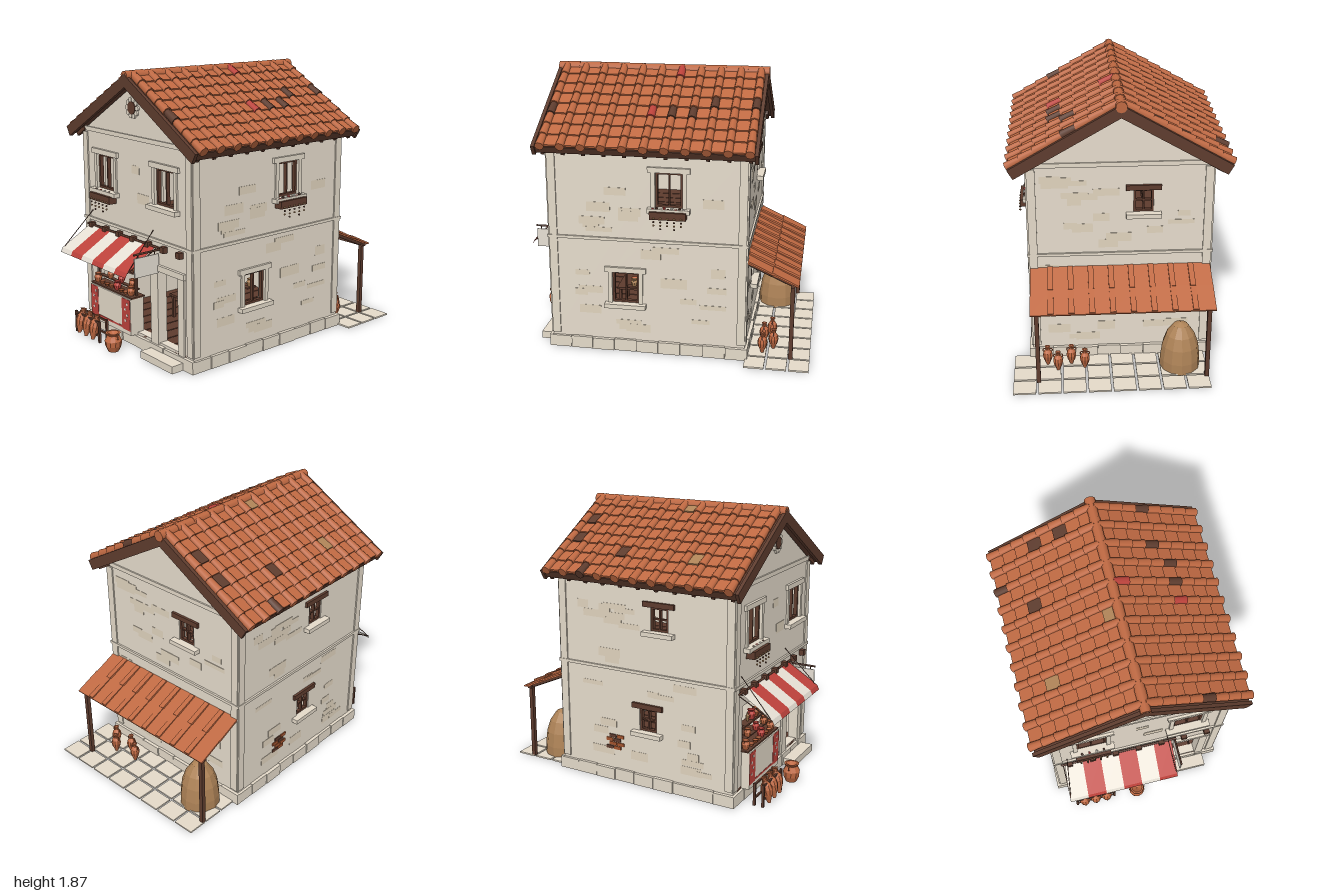
import * as THREE from 'three';

const mat = (name, color, side = THREE.FrontSide) => Object.assign(new THREE.MeshStandardMaterial({ color, side }), { name });
const plaster = mat('plaster', 0xe6dccc), patch = mat('plasterPatch', 0xe0d3bd), stone = mat('stone', 0xe4dac9);
const clay = mat('terracotta', 0xbf6942), darkClay = mat('darkTerracotta', 0xa3552f);
const wood = mat('wood', 0x5e3c2e), dark = mat('darkFloor', 0x452c24), straw = mat('straw', 0xae8357);
const red = mat('red', 0xbd423b, THREE.DoubleSide), white = mat('whiteCloth', 0xf0e9dd, THREE.DoubleSide);

const group = (name, parent) => {
  const g = new THREE.Group();
  g.name = name;
  parent.add(g);
  return g;
};
const add = (parent, name, geo, m, x = 0, y = 0, z = 0) => {
  const mesh = new THREE.Mesh(geo, m);
  mesh.name = name;
  mesh.position.set(x, y, z);
  parent.add(mesh);
  return mesh;
};
// box given by its ranges
const box = (p, name, m, x0, x1, y0, y1, z0, z1) => add(p, name, new THREE.BoxGeometry(x1 - x0, y1 - y0, z1 - z0),
  m, (x0 + x1) / 2, (y0 + y1) / 2, (z0 + z1) / 2);
// thin round bar between two points
const bar = (p, name, m, a, b, r) => {
  const A = new THREE.Vector3(...a), B = new THREE.Vector3(...b);
  const mesh = add(p, name, new THREE.CylinderGeometry(r, r, A.distanceTo(B), 6), m);
  mesh.position.copy(A).lerp(B, 0.5);
  mesh.quaternion.setFromUnitVectors(new THREE.Vector3(0, 1, 0), B.sub(A).normalize());
};
const faceted = geo => {
  const g = geo.toNonIndexed();
  g.computeVertexNormals();
  return g;
};
const points = list => list.map(p => new THREE.Vector2(...p));
const lathe = (pts, n) => faceted(new THREE.LatheGeometry(points(pts), n));

// pottery, modelled one unit high
const forms = {
  amphora: lathe([[0, 0], [0.06, 0], [0.09, 0.1], [0.19, 0.32], [0.235, 0.52], [0.2, 0.7], [0.1, 0.83], [0.09, 0.93], [0.13, 1], [0.07, 1], [0, 0.95]], 10),
  pot: lathe([[0, 0], [0.28, 0], [0.42, 0.3], [0.45, 0.58], [0.34, 0.8], [0.31, 0.88], [0.4, 1], [0.3, 1], [0, 0.8]], 10),
  bowl: lathe([[0, 0], [0.5, 0], [1.1, 1], [0.95, 1], [0, 0.3]], 10)
};
const handle = new THREE.TorusGeometry(0.09, 0.028, 5, 8);
const jar = (p, form, m, h, x, y, z) => {
  const g = group(form, p);
  add(g, 'body', forms[form], m);
  if (form !== 'bowl') for (const s of [-1, 1]) add(g, 'handle', handle, m, s * (form === 'pot' ? 0.36 : 0.13), 0.8, 0);
  g.scale.setScalar(h);
  g.position.set(x, y, z);
  return g;
};

// walls: each has a local frame, u along the wall, v up, outward +z
const rect = (u, v, w, h) => [u - w / 2, u + w / 2, v, v + h];
const makeWall = (root, name, pos, turn, outline, openings) => {
  const g = group(name, root), e = outline[1][0];
  g.position.set(...pos);
  g.rotation.y = turn;
  const s = new THREE.Shape(points(outline));
  for (const [a, b, c, d] of openings) s.holes.push(new THREE.Path(points([[a, c], [a, d], [b, d], [b, c]])));
  add(g, 'wall', new THREE.ExtrudeGeometry(s, { depth: 0.06, bevelEnabled: false }), plaster, 0, 0, -0.06);
  for (const x of [-e, e - 0.055]) box(g, 'cornerPilaster', stone, x, x + 0.055, 0.1, 1.41, 0, 0.009);
  box(g, 'storeyBand', stone, -e - 0.01, e + 0.01, 0.79, 0.81, 0, 0.013);
  box(g, 'plinthCore', stone, -e, e, 0.004, 0.078, -0.04, 0.012);
  const n = e > 0.62 ? 9 : 8, w = (2 * e + 0.04) / n;
  for (let i = 0; i < n; i++) box(g, 'plinthBlock', stone, -e - 0.018 + i * w, -e - 0.022 + (i + 1) * w,
    0, 0.08 + (i % 2) * 0.004, 0, 0.018 + (i % 3) * 0.003);
  // faint plaster patches clear of the openings
  let seed = 47 + Math.round(turn * 10);
  const rnd = () => (seed = (seed * 16807) % 2147483647) / 2147483647;
  for (let i = 0; i < 40; i++) {
    const pw = 0.04 + rnd() * 0.05, ph = 0.015 + rnd() * 0.02, u = (rnd() - 0.5) * 0.95, v = 0.15 + rnd() * 1.2;
    if (Math.abs(v - 0.8) < 0.06 || openings.some(o => u + pw > o[0] - 0.06 && u - pw < o[1] + 0.06
      && v + ph > o[2] - 0.1 && v - ph < o[3] + 0.06)) continue;
    box(g, 'plasterPatch', patch, u - pw, u + pw, v - ph, v + ph, 0, 0.001 + (i % 5) * 0.0004);
  }
  return g;
};
const windowSet = (wall, [a, b, c, d], rustic) => {
  const g = group('window', wall), m = (a + b) / 2, v = (c + d) / 2, f = 0.015;
  box(g, 'lintel', rustic ? wood : stone, a - 0.05, b + 0.05, d, d + 0.035, -0.03, 0.018);
  box(g, 'sill', stone, a - 0.05, b + 0.05, c - 0.03, c, -0.03, 0.045);
  if (rustic) box(g, 'crossBar', wood, a, b, v - 0.005, v + 0.005, -0.034, -0.012);
  else for (const x of [a - 0.028, b]) box(g, 'jamb', stone, x, x + 0.028, c, d, -0.03, 0.012);
  for (const [p, q] of [[a, a + f], [b - f, b], [m - 0.005, m + 0.005]]) box(g, 'frameUpright', wood, p, q, c, d, -0.035, -0.008);
  for (const y of [c, d - f]) box(g, 'frameRail', wood, a, b, y, y + f, -0.035, -0.008);
};
const leaf = new THREE.IcosahedronGeometry(0.011, 0);
const flowerBox = (wall, u, v) => {
  const g = group('flowerBox', wall);
  box(g, 'planter', wood, u - 0.12, u + 0.12, v - 0.055, v - 0.005, 0.005, 0.065);
  for (let i = 0; i < 9; i++) add(g, 'flower', leaf, [red, wood, white][i % 3], u - 0.1 + i * 0.025, v + 0.006 + (i % 2) * 0.01, 0.035);
  for (let i = 0; i < 5; i++) for (let k = 0; k < 3 + (i % 2); k++)
    add(g, 'trailingLeaf', leaf, k % 2 ? wood : straw, u - 0.09 + i * 0.045, v - 0.045 - k * 0.023, 0.068).scale.setScalar(0.7);
};

function buildWalls(root) {
  const gable = [[-0.6, 0.06], [0.6, 0.06], [0.6, 1.42], [0, 1.77], [-0.6, 1.42]];
  const flank = [[-0.66, 0.06], [0.66, 0.06], [0.66, 1.42], [-0.66, 1.42]];
  const build = (name, pos, turn, outline, windows, rustic, doors = []) => {
    const w = makeWall(root, name, pos, turn, outline, [...windows, ...doors]);
    windows.forEach(o => windowSet(w, o, rustic));
    if (outline === gable) box(w, 'gableCornice', stone, -0.6, 0.6, 1.42, 1.45, 0, 0.01);
    return w;
  };
  const front = build('frontWall', [0, 0, 0.75], 0, gable, [rect(-0.33, 1.035, 0.2, 0.24), rect(0.33, 1.035, 0.2, 0.24)],
    false, [[-0.48, 0.16, 0.1, 0.65], [0.25, 0.46, 0.1, 0.6]]);
  const leftFlank = build('leftFlankWall', [0.6, 0, 0.09], Math.PI / 2, flank, [rect(0.15, 1.035, 0.18, 0.235), rect(-0.145, 0.35, 0.18, 0.22)], false);
  build('backWall', [0, 0, -0.57], Math.PI, gable, [rect(0.15, 1.095, 0.13, 0.16), rect(-0.13, 0.395, 0.13, 0.16)], true);
  const rightFlank = build('rightFlankWall', [-0.6, 0, 0.09], -Math.PI / 2, flank, [rect(0.12, 1.095, 0.13, 0.16), rect(0.03, 0.395, 0.13, 0.16)], true);
  flowerBox(front, -0.33, 1.015);
  flowerBox(leftFlank, 0.15, 1.025);
  // bare brick patch
  for (let r = 0; r < 4; r++) for (let c = 0; c < 2; c++) {
    const u = -0.3 + c * 0.06 + (r % 2) * 0.025;
    box(rightFlank, 'bareBrick', (r + c) % 3 ? darkClay : wood, u, u + 0.055, 0.22 + r * 0.028, 0.243 + r * 0.028, 0, 0.007);
  }
  // gable rosette
  const disc = r => new THREE.CylinderGeometry(r, r, 0.014, 14).rotateX(Math.PI / 2);
  add(front, 'rosetteCentre', disc(0.042), wood, 0, 1.63, 0.009);
  for (let i = 0; i < 10; i++) add(front, 'rosettePetal', disc(0.016), stone,
    Math.cos(i * Math.PI / 5) * 0.055, 1.63 + Math.sin(i * Math.PI / 5) * 0.055, 0.005);
  // door surround and step
  for (const [a, b] of [[0.17, 0.25], [0.46, 0.52]]) box(front, 'doorJamb', stone, a, b, 0.085, 0.6, -0.03, 0.012);
  box(front, 'doorLintel', stone, 0.16, 0.53, 0.6, 0.64, -0.03, 0.02);
  box(root, 'doorStep', stone, 0.18, 0.52, 0, 0.05, 0.772, 0.86);
}

function buildInterior(inside) {
  box(inside, 'groundFloor', dark, -0.598, 0.598, 0.002, 0.06, -0.568, 0.748);
  box(inside, 'upperFloor', dark, -0.55, 0.55, 0.775, 0.8, -0.52, 0.7);
  for (let i = 0; i < 10; i++) {
    const x = -0.54 + i * 0.109;
    box(inside, 'floorPlank', wood, x, x + 0.1, 0.06, 0.098, -0.51, 0.75);
    box(inside, 'upperPlank', wood, x, x + 0.1, 0.8, 0.81, -0.51, 0.69);
    box(inside, 'ceilingBeam', wood, x + 0.03, x + 0.06, 0.745, 0.775, -0.51, 0.69);
  }
  box(inside, 'tableTop', wood, -0.1, 0.17, 0.255, 0.27, 0.2, 0.4);
  for (const x of [-0.08, 0.15]) for (const z of [0.22, 0.38]) box(inside, 'tableLeg', wood, x - 0.01, x + 0.01, 0.09, 0.255, z - 0.01, z + 0.01);
  jar(inside, 'bowl', clay, 0.025, 0.03, 0.27, 0.3);
  for (const [x, z] of [[0.385, 0.55], [0.46, 0.5]]) jar(inside, 'amphora', straw, 0.17, x, 0.098, z);
  box(inside, 'windowShelf', wood, 0.49, 0.54, 0.43, 0.44, 0.16, 0.24);
  jar(inside, 'pot', straw, 0.05, 0.515, 0.44, 0.195);
}

function buildShop(shop) {
  const mix = [clay, straw, red, darkClay];
  box(shop, 'counter', stone, -0.48, 0, 0.085, 0.34, 0.7, 0.808);
  box(shop, 'counterTop', wood, -0.49, 0.005, 0.342, 0.352, 0.69, 0.8);
  for (const [a, b] of [[-0.48, -0.39], [-0.1, -0.005]]) {
    box(shop, 'redPanel', red, a, b, 0.115, 0.335, 0.806, 0.81);
    for (let i = 0; i < 4; i++) add(shop, 'paintedDiamond', new THREE.BoxGeometry(0.017, 0.017, 0.002), white,
      (a + b) / 2 + (i % 2 ? 0.014 : -0.008), 0.18 + i * 0.04, 0.8105).rotation.z = 0.6 + i * 0.3;
  }
  box(shop, 'redBorder', red, -0.39, -0.1, 0.12, 0.133, 0.806, 0.81);
  for (const x of [-0.47, -0.025]) box(shop, 'shelfPost', wood, x - 0.008, x + 0.008, 0.35, 0.52, 0.73, 0.746);
  box(shop, 'upperShelf', wood, -0.48, -0.015, 0.51, 0.522, 0.715, 0.775);
  box(shop, 'lowerShelf', wood, -0.47, -0.025, 0.388, 0.396, 0.71, 0.74);
  [-0.4, -0.345, -0.28, -0.215, -0.155, -0.085, -0.035].forEach((x, i) =>
    jar(shop, i % 3 ? 'pot' : 'amphora', mix[(i + 1) % 4], 0.06 + (i % 2) * 0.006, x, 0.522, 0.75));
  [-0.345, -0.215, -0.085].forEach((x, i) => jar(shop, 'pot', mix[(i * 2) % 4], 0.055, x, 0.396, 0.728));
  [-0.45, -0.21, -0.05].forEach((x, i) => jar(shop, 'pot', mix[(i * 2) % 4], 0.062, x, 0.352, 0.765));
  [-0.385, -0.32, -0.27, -0.15, -0.1].forEach((x, i) => jar(shop, 'bowl', mix[i % 2 * 3], 0.02, x, 0.352, 0.775));
  bar(shop, 'hangingCord', wood, [0.08, 0.58, 0.77], [0.08, 0.72, 0.77], 0.003);
  jar(shop, 'pot', straw, 0.065, 0.08, 0.525, 0.77);
}

function buildAwning(awning) {
  // rows of start x, stripe width, y, z
  const rows = [[-0.535, 0.128, 0.755, 0.765], [-0.55, 0.13, 0.622, 0.985], [-0.55, 0.13, 0.592, 1]];
  for (let i = 0; i < 6; i++) {
    const g = new THREE.BufferGeometry();
    g.setAttribute('position', new THREE.Float32BufferAttribute(
      rows.flatMap(([x, w, y, z]) => [x + i * w, y, z, x + (i + 1) * w, y, z]), 3));
    g.setIndex([0, 2, 1, 1, 2, 3, 2, 4, 3, 3, 4, 5]);
    add(awning, 'stripe', faceted(g), i % 2 ? red : white);
  }
  bar(awning, 'wallRod', wood, [-0.56, 0.757, 0.765], [0.27, 0.757, 0.765], 0.008);
  for (const [a, b] of [[-0.545, -0.51], [0.225, 0.2]]) {
    bar(awning, 'stayRope', wood, [a, 0.62, 0.98], [b, 0.86, 0.752], 0.003);
    bar(awning, 'sideRod', wood, [a, 0.62, 0.98], [a, 0.74, 0.755], 0.004);
  }
  for (let i = 0; i < 7; i++) box(awning, 'beamEnd', wood, -0.52 + i * 0.165, -0.48 + i * 0.165, 0.737, 0.777, 0.74, 0.785);
  // blank hanging board
  bar(awning, 'boardArm', wood, [0.26, 0.742, 0.75], [0.26, 0.742, 0.955], 0.007);
  box(awning, 'hangingBoard', white, 0.256, 0.264, 0.588, 0.718, 0.76, 0.95);
  for (const z of [0.79, 0.92]) bar(awning, 'boardHook', wood, [0.26, 0.715, z], [0.26, 0.742, z], 0.003);
}

function buildRoof(roof) {
  const pan = new THREE.BoxGeometry(0.109, 0.014, 0.118);
  const cover = new THREE.CylinderGeometry(0.025, 0.031, 0.115, 8).rotateZ(Math.PI / 2);
  // odd tiles, keyed by side, kind, course and column
  const odd = { '1c3,0': wood, '1c3,2': wood, '1c4,3': wood, '1c4,4': wood, '1c4,10': wood, '1c0,4': red, '1c4,5': red,
    '-1c7,2': wood, '-1p4,0': wood, '-1p2,0': wood, '-1p5,3': wood, '-1p0,5': straw, '-1p5,7': straw };
  for (const s of [1, -1]) {
    const turn = group('roofSide', roof), slope = group('slope', turn), mid = 0.09 * s;
    turn.rotation.y = s > 0 ? 0 : Math.PI;
    slope.position.y = 1.835;
    slope.rotation.z = -Math.PI / 6;
    box(slope, 'roofBoard', wood, 0, 0.81, -0.05, 0, mid - 0.71, mid + 0.71);
    for (const z of [mid - 0.715, mid + 0.715]) box(slope, 'bargeBoard', wood, -0.02, 0.82, -0.062, 0.01, z - 0.012, z + 0.012);
    for (let j = 0; j < 11; j++) {
      const z = s * (-0.585 + j * 0.134);
      box(slope, 'rafterEnd', wood, 0.69, 0.8, -0.075, -0.05, z - 0.012, z + 0.012);
      for (let i = 0; i < 8; i++) {
        const d = 0.055 + i * 0.1015;
        add(slope, 'coverTile', cover, odd[`${s}c${i},${j}`] || clay, d, 0.016, z).rotation.z = 0.04;
        if (j < 10) add(slope, 'panTile', pan, odd[`${s}p${i},${j}`] || clay, d - 0.008, 0.012, z + s * 0.067).rotation.z = 0.09;
      }
    }
  }
  for (let k = 0; k < 10; k++) add(roof, 'ridgeTile', new THREE.CylinderGeometry(0.034, 0.037, 0.149, 10).rotateX(Math.PI / 2),
    clay, 0, 1.835, -0.568 + k * 0.1455);
}

function buildYard(yard) {
  // lean-to roof on two posts
  const lean = group('leanToRoof', yard);
  lean.position.set(0, 0.695, -0.57);
  lean.rotation.x = -0.415;
  box(lean, 'leanToBoard', clay, -0.59, 0.59, -0.014, -0.004, -0.365, 0);
  for (let i = 0; i < 9; i++) for (let r = 0; r < 2; r++) {
    const x = -0.533 + i * 0.1333;
    add(lean, 'leanToPan', new THREE.BoxGeometry(0.132, 0.012, 0.195), clay, x, 0.002, -0.093 - r * 0.184).rotation.x = -0.03;
    if (i) box(lean, 'leanToCover', clay, x - 0.085, x - 0.048, 0, 0.02 - r * 0.004, -0.185 * (r + 1), -0.185 * r);
  }
  box(yard, 'leanToBeam', wood, -0.59, 0.59, 0.53, 0.552, -0.885, -0.86);
  for (const x of [-0.56, 0.56]) {
    box(yard, 'leanToPost', wood, x - 0.014, x + 0.014, 0.01, 0.54, -0.887, -0.859);
    bar(yard, 'leanToRafter', wood, [x, 0.67, -0.575], [x, 0.535, -0.88], 0.012);
  }
  // paving, hay and jars
  for (let i = 0; i < 8; i++) for (let r = 0; r < 3; r++) box(yard, 'pavingSlab', stone,
    -0.575 + i * 0.1645, -0.425 + i * 0.1645, 0.002, 0.013, -1 + r * 0.147, -0.867 + r * 0.147);
  add(yard, 'haystack', lathe([[0, 0], [0.135, 0], [0.135, 0.08], [0.122, 0.18], [0.095, 0.26], [0.05, 0.325], [0, 0.345]], 12), straw, -0.395, 0, -0.725);
  [[0.5, -0.68], [0.43, -0.75], [0.34, -0.68], [0.25, -0.73]].forEach(([x, z]) => jar(yard, 'amphora', clay, 0.145, x, 0.01, z));
}

function buildStreet(street) {
  for (const x of [-0.505, -0.215]) for (const z of [0.86, 0.92]) box(street, 'rackPost', wood, x - 0.008, x + 0.008, 0, 0.155, z - 0.008, z + 0.008);
  for (const y of [0.05, 0.145]) for (const z of [0.86, 0.92]) box(street, 'rackRail', wood, -0.51, -0.21, y - 0.006, y + 0.006, z - 0.006, z + 0.006);
  for (const x of [-0.445, -0.36, -0.275]) jar(street, 'amphora', clay, 0.175, x, 0.012, 0.94).rotation.x = -0.25;
  jar(street, 'pot', clay, 0.13, -0.04, 0, 0.925);
}

export function createModel() {
  const root = new THREE.Group();
  root.name = 'shopHouse';
  buildWalls(root);
  const parts = { interior: buildInterior, shopCounter: buildShop, awning: buildAwning, roof: buildRoof, rearYard: buildYard, streetPottery: buildStreet };
  for (const [name, build] of Object.entries(parts)) build(group(name, root));
  return root;
}
